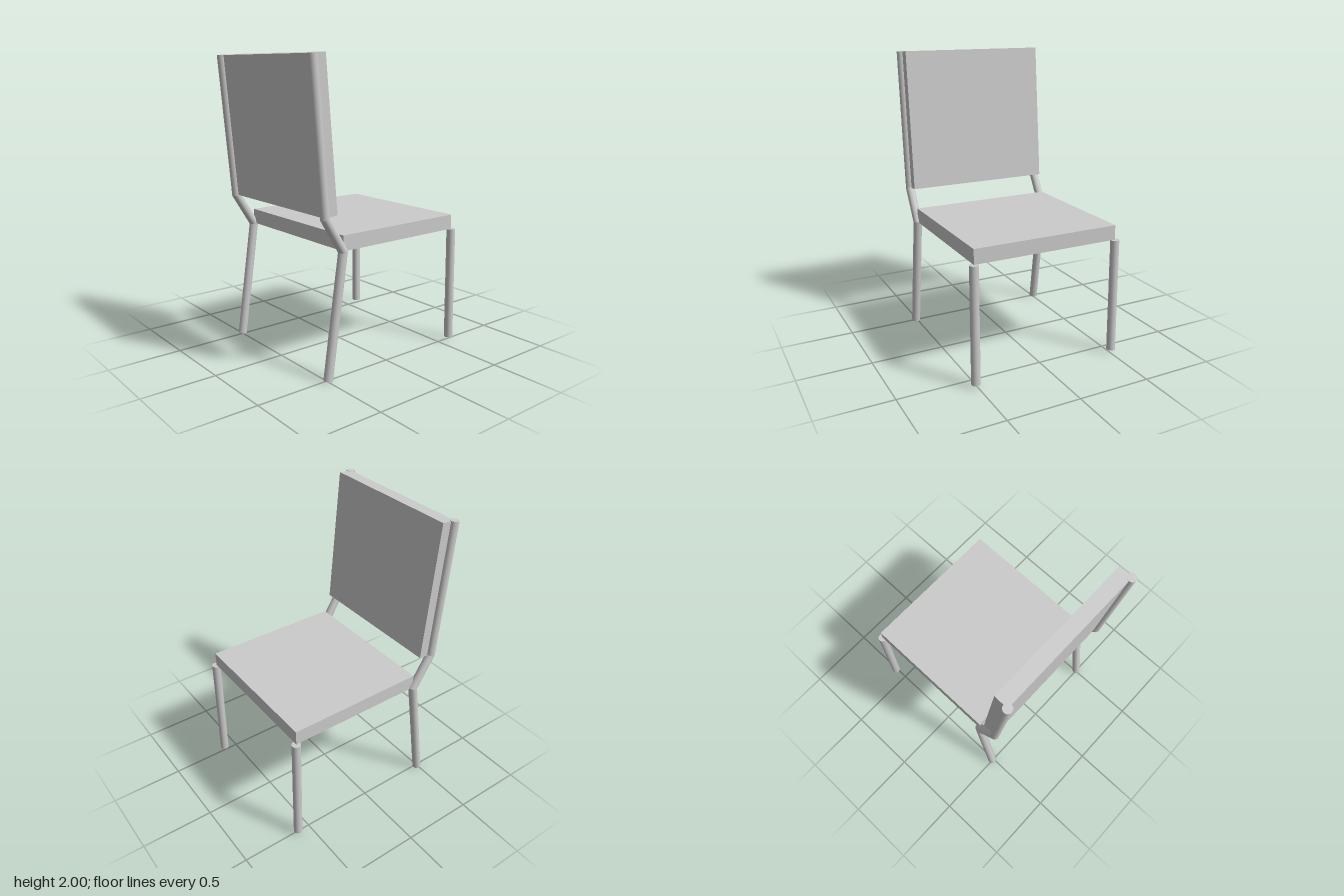
import * as THREE from 'three';

const mat = new THREE.MeshStandardMaterial({ color: 0xcccccc });
const RADIUS = 0.03;

// Round rod through [x, y] points in an upright plane, with mitred bends
function rod(name, points, z) {
  const group = new THREE.Group();
  group.name = name;
  const angles = points.slice(1).map(([x, y], i) => Math.atan2(points[i][0] - x, y - points[i][1]));
  angles.forEach((angle, i) => {
    const [x0, y0] = points[i], [x1, y1] = points[i + 1];
    const geo = new THREE.CylinderGeometry(RADIUS, RADIUS, Math.hypot(x1 - x0, y1 - y0), 16);
    const slopeTop = i < angles.length - 1 ? Math.tan((angles[i + 1] - angle) / 2) : 0;
    const slopeBottom = i > 0 ? -Math.tan((angle - angles[i - 1]) / 2) : 0;
    const p = geo.attributes.position;
    for (let k = 0; k < p.count; k++) {
      const y = p.getY(k);
      p.setY(k, y + p.getX(k) * (y > 0 ? slopeTop : slopeBottom));
    }
    geo.rotateZ(angle).translate((x0 + x1) / 2, (y0 + y1) / 2, z);
    const mesh = new THREE.Mesh(geo, mat);
    mesh.name = name + 'Section' + (i + 1);
    group.add(mesh);
  });
  return group;
}

function panel(name, size, position, tilt = 0) {
  const mesh = new THREE.Mesh(new THREE.BoxGeometry(...size), mat);
  mesh.name = name;
  mesh.position.set(...position);
  mesh.rotation.z = tilt;
  return mesh;
}

export function createModel() {
  const chair = new THREE.Group();
  chair.name = 'chair';

  // Seat and leaning backrest; the sitter looks along +x
  chair.add(panel('seat', [0.96, 0.1, 1.02], [0.105, 0.863, 0]));
  chair.add(panel('backrest', [0.096, 0.96, 1.02], [-0.51, 1.518, 0], 0.0885));

  // Bent rear posts and short front legs on both sides
  for (const [side, z] of [['left', -0.51], ['right', 0.51]]) {
    chair.add(rod(side + 'RearPost', [[-0.495, 0.005], [-0.378, 0.813], [-0.515, 1.035], [-0.6, 1.994]], z));
    chair.add(rod(side + 'FrontLeg', [[0.593, 0.024], [0.586, 0.813]], z));
  }
  return chair;
}
